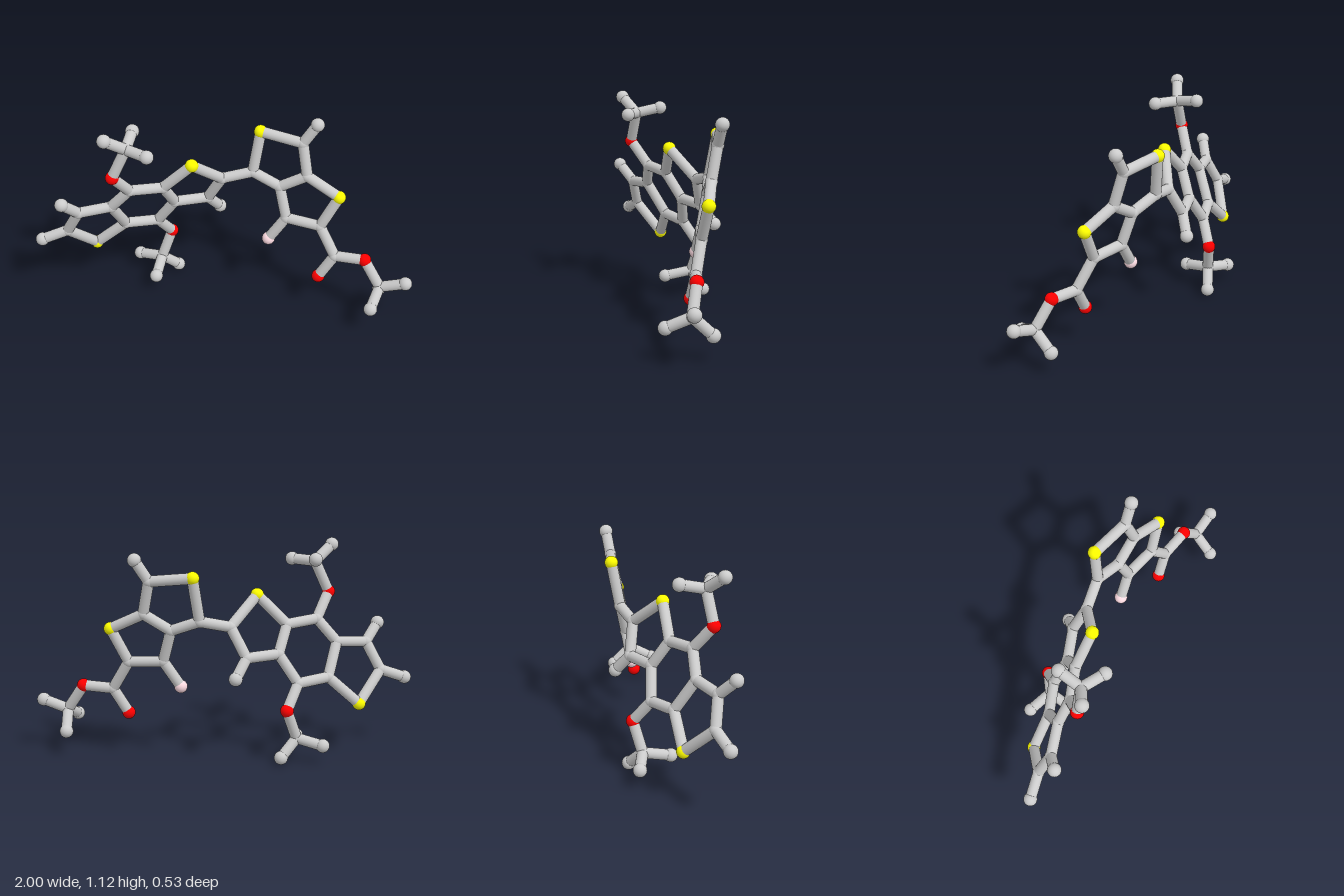
import * as THREE from 'three';

const grey = new THREE.MeshStandardMaterial({ color: 0xcccccc });
const yellow = new THREE.MeshStandardMaterial({ color: 0xffff00 });
const red = new THREE.MeshStandardMaterial({ color: 0xff0000 });
const pink = new THREE.MeshStandardMaterial({ color: 0xffdde4 });

// Ball styles: material, radius and part name
const KINDS = {
  C: [grey, 0.032, 'carbonJoint'],
  H: [grey, 0.036, 'hydrogenBall'],
  S: [yellow, 0.035, 'sulfurBall'],
  O: [red, 0.035, 'oxygenBall'],
  F: [pink, 0.035, 'fluorineBall'],
};
const ROD_RADIUS = 0.029;
const UP = new THREE.Vector3(0, 1, 0);

// Each fused ring system is flat: z follows from x and y
const leftPlane = (x, y) => -0.347 * x + 0.439 * y - 0.442;
const rightPlane = (x, y) => 0.232 * x - 0.185 * y - 0.039;

// name: [x, y, z?]; the first letter of the name is the kind of ball
const LEFT = {
  H1: [-0.97, 0.385], H2: [-0.83, 0.67], H3: [-0.045, 0.46],
  Ca: [-0.835, 0.435], Cb: [-0.76, 0.58], S1: [-0.705, 0.28],
  Cc: [-0.595, 0.594], Cd: [-0.54, 0.425], Ce: [-0.49, 0.715],
  Cf: [-0.325, 0.70], Cg: [-0.275, 0.56], Ch: [-0.375, 0.41],
  S2: [-0.17, 0.855], Ci: [-0.025, 0.71], Cj: [-0.105, 0.555],
  O1: [-0.56, 0.845], O2: [-0.31, 0.285],
  // upper methyl
  Cx: [-0.485, 1.01, 0.108],
  H4: [-0.58, 1.09, 0.167], H5: [-0.37, 1.015, 0.176], H6: [-0.47, 1.038, -0.022],
  // lower methyl
  Cy: [-0.365, 0.128, -0.175],
  H7: [-0.495, 0.10, -0.228], H8: [-0.28, 0.038, -0.224], H9: [-0.38, 0.10, -0.03],
};
const RIGHT = {
  Ck: [0.135, 0.745], S3: [0.17, 0.973], Cl: [0.39, 0.95], H10: [0.46, 1.06],
  Cm: [0.42, 0.775], Cn: [0.28, 0.69], S4: [0.59, 0.69],
  Co: [0.50, 0.51], Cp: [0.32, 0.52], F1: [0.23, 0.383],
  Cq: [0.585, 0.355], O3: [0.505, 0.22], O4: [0.742, 0.365],
  // end methyl
  Cz: [0.83, 0.225, 0.108],
  H11: [0.96, 0.273, 0.13], H12: [0.785, 0.167, 0.226], H13: [0.835, 0.13, 0.008],
};

// Chains of joined balls
const LEFT_RODS = [
  'H1 Ca Cb Cc Cd S1 Ca', 'Cb H2', 'Cc Ce Cf Cg Ch Cd',
  'Cf S2 Ci Cj Cg', 'Cj H3', 'Ce O1 Cx H4', 'H5 Cx H6', 'Ch O2 Cy H7', 'H8 Cy H9',
];
const RIGHT_RODS = [
  'Ck S3 Cl Cm Cn Ck', 'Cl H10', 'Cm S4 Co Cp Cn', 'Cp F1',
  'Co Cq O4 Cz H11', 'Cq O3', 'H12 Cz H13',
];

function rod(a, b) {
  const dir = b.clone().sub(a);
  const mesh = new THREE.Mesh(
    new THREE.CylinderGeometry(ROD_RADIUS, ROD_RADIUS, dir.length(), 20, 1, true), grey);
  mesh.position.copy(a).add(b).multiplyScalar(0.5);
  mesh.quaternion.setFromUnitVectors(UP, dir.normalize());
  mesh.name = 'bondRod';
  return mesh;
}

function ball(kind, at) {
  const [material, radius, name] = KINDS[kind];
  const mesh = new THREE.Mesh(new THREE.SphereGeometry(radius, 24, 16), material);
  mesh.position.copy(at);
  mesh.name = name;
  return mesh;
}

// Balls and rods of one ring system with its side groups
function fragment(name, table, plane, chains) {
  const group = new THREE.Group();
  group.name = name;
  const points = {};
  for (const [key, [x, y, z = plane(x, y)]] of Object.entries(table)) {
    points[key] = new THREE.Vector3(x, y, z);
    group.add(ball(key[0], points[key]));
  }
  for (const chain of chains) {
    const keys = chain.split(' ');
    for (let i = 1; i < keys.length; i++) group.add(rod(points[keys[i - 1]], points[keys[i]]));
  }
  return { group, points };
}

export function createModel() {
  const model = new THREE.Group();
  model.name = 'ballAndStickMolecule';
  const left = fragment('threeRingUnit', LEFT, leftPlane, LEFT_RODS);
  const right = fragment('twoRingUnit', RIGHT, rightPlane, RIGHT_RODS);
  // Rod linking the two ring systems
  const link = rod(left.points.Ci, right.points.Ck);
  link.name = 'linkRod';
  model.add(left.group, right.group, link);
  return model;
}
